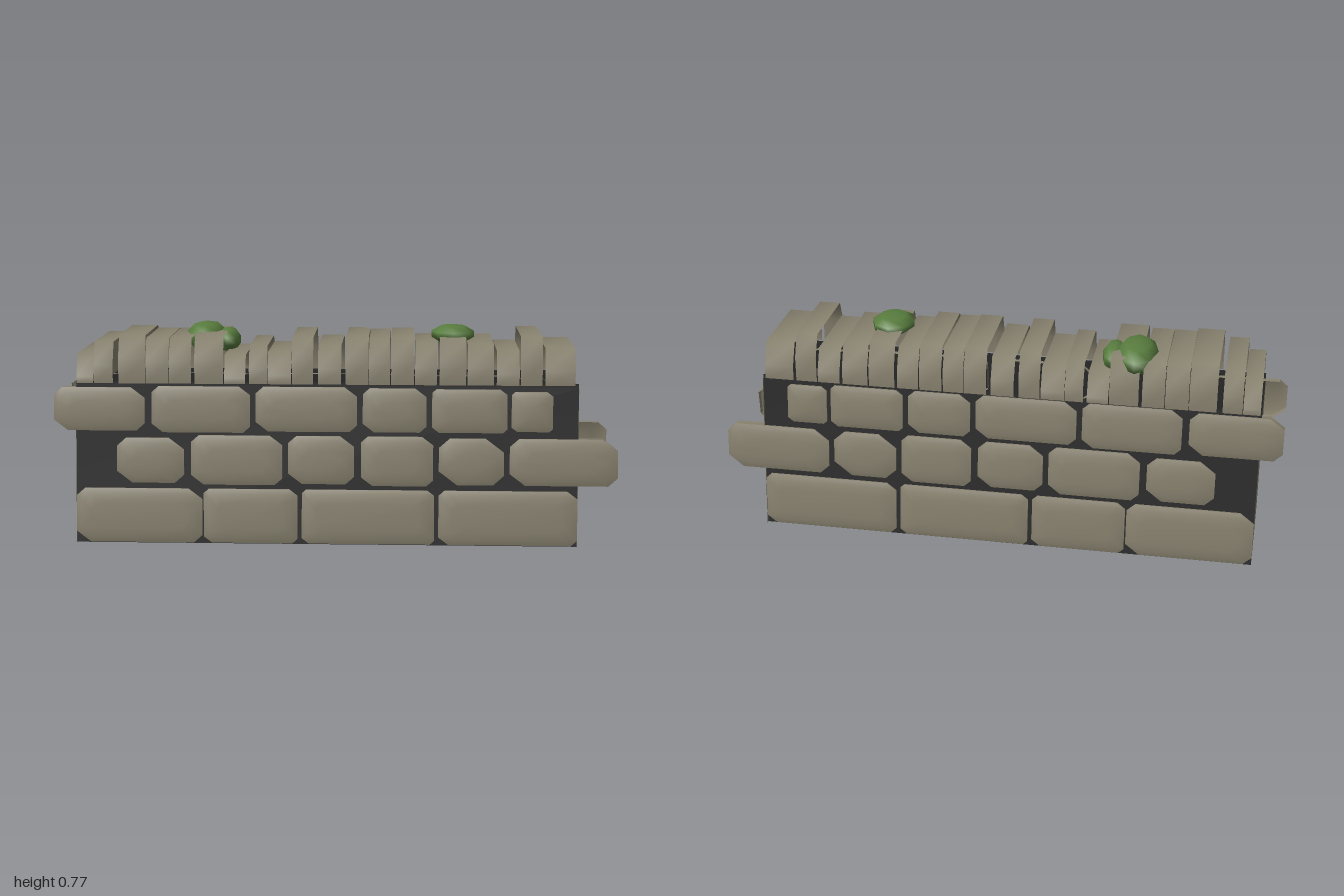
import * as THREE from 'three';
import { toCreasedNormals } from 'three/addons/utils/BufferGeometryUtils.js';

const X0 = -0.92, X1 = 0.86;
const faceZ = (y) => 0.226 - 0.1 * y; // battered wall face

// Skin a list of equal-length rings of [x, y, z] points
function loft(rings, closed) {
  const n = rings[0].length, index = [];
  for (let r = 0; r < rings.length - 1; r++) {
    for (let i = 0; i < (closed ? n : n - 1); i++) {
      const j = (i + 1) % n, a = r * n + i, b = r * n + j;
      index.push(a, b, b + n, a, b + n, a + n);
    }
  }
  const geo = new THREE.BufferGeometry();
  geo.setAttribute('position', new THREE.Float32BufferAttribute(rings.flat(2), 3));
  geo.setIndex(index);
  geo.computeVertexNormals();
  return geo;
}

// Chamfered, slightly pillowed facing stone
function stoneGeometry(x0, x1, y0, y1, c) {
  const cx = (x0 + x1) / 2, cy = (y0 + y1) / 2, d = c * 0.75;
  const outline = [
    [x0 + c, y0], [x1 - c * 0.6, y0], [x1, y0 + d * 0.7], [x1, y1 - d],
    [x1 - c, y1], [x0 + c * 0.6, y1], [x0, y1 - d * 0.7], [x0, y0 + d],
  ];
  const ring = (inset, lift) => outline.map(([x, y]) => {
    const px = x + Math.sign(cx - x) * Math.min(inset, Math.abs(cx - x));
    const py = y + Math.sign(cy - y) * Math.min(inset, Math.abs(cy - y));
    return [px, py, faceZ(py) + lift];
  });
  const rings = [ring(0, -0.025), ring(0, -0.001), ring(0.018, 0.006), ring(0.05, 0.009), ring(1, 0.01)];
  return toCreasedNormals(loft(rings, true), 0.7);
}

export function createModel() {
  const stone = new THREE.MeshStandardMaterial({ color: 0x88826f, side: THREE.DoubleSide });
  stone.name = 'stone';
  const mortar = new THREE.MeshStandardMaterial({ color: 0x2c2c2c, side: THREE.DoubleSide });
  mortar.name = 'mortar';
  const moss = new THREE.MeshStandardMaterial({ color: 0x587c3e });
  moss.name = 'moss';

  const model = new THREE.Group();
  model.name = 'stoneWall';
  const add = (parent, name, geo, mat) => {
    const mesh = new THREE.Mesh(geo, mat);
    mesh.name = name;
    parent.add(mesh);
    return mesh;
  };

  // Facing stones: [x0, x1, y0, y1, chamfer]
  const stones = [
    [-0.92, -0.47, 0.003, 0.195, 0.05], [-0.465, -0.13, 0.003, 0.195, 0.03],
    [-0.115, 0.355, 0.003, 0.195, 0.025], [0.37, 0.86, 0.003, 0.195, 0.035],
    [-0.775, -0.535, 0.215, 0.375, 0.055], [-0.51, -0.185, 0.21, 0.385, 0.045],
    [-0.165, 0.07, 0.215, 0.385, 0.05], [0.095, 0.35, 0.21, 0.385, 0.04],
    [0.37, 0.6, 0.215, 0.38, 0.065], [0.62, 1.0, 0.215, 0.38, 0.055],
    [-1.0, -0.675, 0.4, 0.553, 0.05], [-0.65, -0.3, 0.395, 0.558, 0.04],
    [-0.28, 0.08, 0.4, 0.558, 0.045], [0.1, 0.325, 0.4, 0.555, 0.04],
    [0.345, 0.61, 0.4, 0.553, 0.025], [0.625, 0.77, 0.405, 0.545, 0.02],
  ];

  // The two long faces share one layout; the back is turned round with x reversed
  for (const side of [1, -1]) {
    const face = new THREE.Group();
    face.name = side > 0 ? 'frontFace' : 'backFace';
    if (side < 0) face.rotation.y = Math.PI;
    const a = side > 0 ? X0 : -X1, b = side > 0 ? X1 : -X0;
    const panel = [0, 0.56, 0.575].map((y) => [a, b].map((x) => [x, y, faceZ(Math.min(y, 0.56)) - 0.006]));
    add(face, 'mortarPanel', loft(panel, false), mortar);
    for (const [x0, x1, y0, y1, c] of stones) {
      const geo = side > 0 ? stoneGeometry(x0, x1, y0, y1, c) : stoneGeometry(-x1, -x0, y0, y1, c);
      add(face, 'facingStone', geo, stone);
    }
    model.add(face);
  }

  // Tapered end walls
  const endShape = new THREE.Shape([[-0.23, 0], [0.23, 0], [0.172, 0.56], [-0.172, 0.56]]
    .map(([u, v]) => new THREE.Vector2(u, v)));
  for (const [x, turn] of [[X1, 1], [X0, -1]]) {
    const end = add(model, turn > 0 ? 'leftEndWall' : 'rightEndWall', new THREE.ShapeGeometry(endShape), stone);
    end.rotation.y = turn * Math.PI / 2;
    end.position.x = x;
  }

  // Coping: hollow arched shells, [x0, x1, height]
  const coping = [
    [-0.915, -0.855, 0.672], [-0.853, -0.785, 0.714], [-0.765, -0.67, 0.738], [-0.668, -0.587, 0.728],
    [-0.585, -0.507, 0.728], [-0.495, -0.393, 0.736], [-0.39, -0.315, 0.67], [-0.302, -0.238, 0.702],
    [-0.236, -0.153, 0.68], [-0.15, -0.075, 0.733], [-0.058, 0.024, 0.705], [0.04, 0.12, 0.733],
    [0.122, 0.195, 0.728], [0.2, 0.28, 0.733], [0.284, 0.36, 0.712], [0.37, 0.463, 0.73],
    [0.468, 0.56, 0.712], [0.57, 0.65, 0.69], [0.654, 0.73, 0.74], [0.74, 0.845, 0.7],
  ];
  coping.forEach(([x0, x1, h], i) => {
    const half = [[0.57, 0.185], [h - 0.08, 0.185], [h, 0.15]];
    const profile = [...half, ...half.slice().reverse().map(([y, z]) => [y, -z])];
    const rings = [x0, x1].map((x) => profile.map(([y, z]) => [x, y, z]));
    add(model, 'copingStone', loft(rings, false), stone);
    if (i < 2) {
      // Inner plates closing the two outermost coping stones
      const plate = new THREE.Shape([[-0.185, 0.6], [0.185, 0.6], [0.185, h - 0.08], [0.15, h], [-0.15, h], [-0.185, h - 0.08]]
        .map(([u, v]) => new THREE.Vector2(u, v)));
      const cap = add(model, 'copingPlate', new THREE.ShapeGeometry(plate), stone);
      cap.rotation.y = Math.PI / 2;
      cap.position.x = x1;
    }
  });

  // Moss clumps: centre, radii
  for (const [p, r] of [
    [[0.418, 0.733, 0.025], [0.08, 0.035, 0.097]],
    [[-0.475, 0.71, -0.06], [0.078, 0.056, 0.13]],
    [[-0.395, 0.7, -0.05], [0.045, 0.045, 0.09]],
  ]) {
    const clump = add(model, 'mossClump', new THREE.SphereGeometry(1, 8, 5), moss);
    clump.position.set(...p);
    clump.scale.set(...r);
  }
  return model;
}
